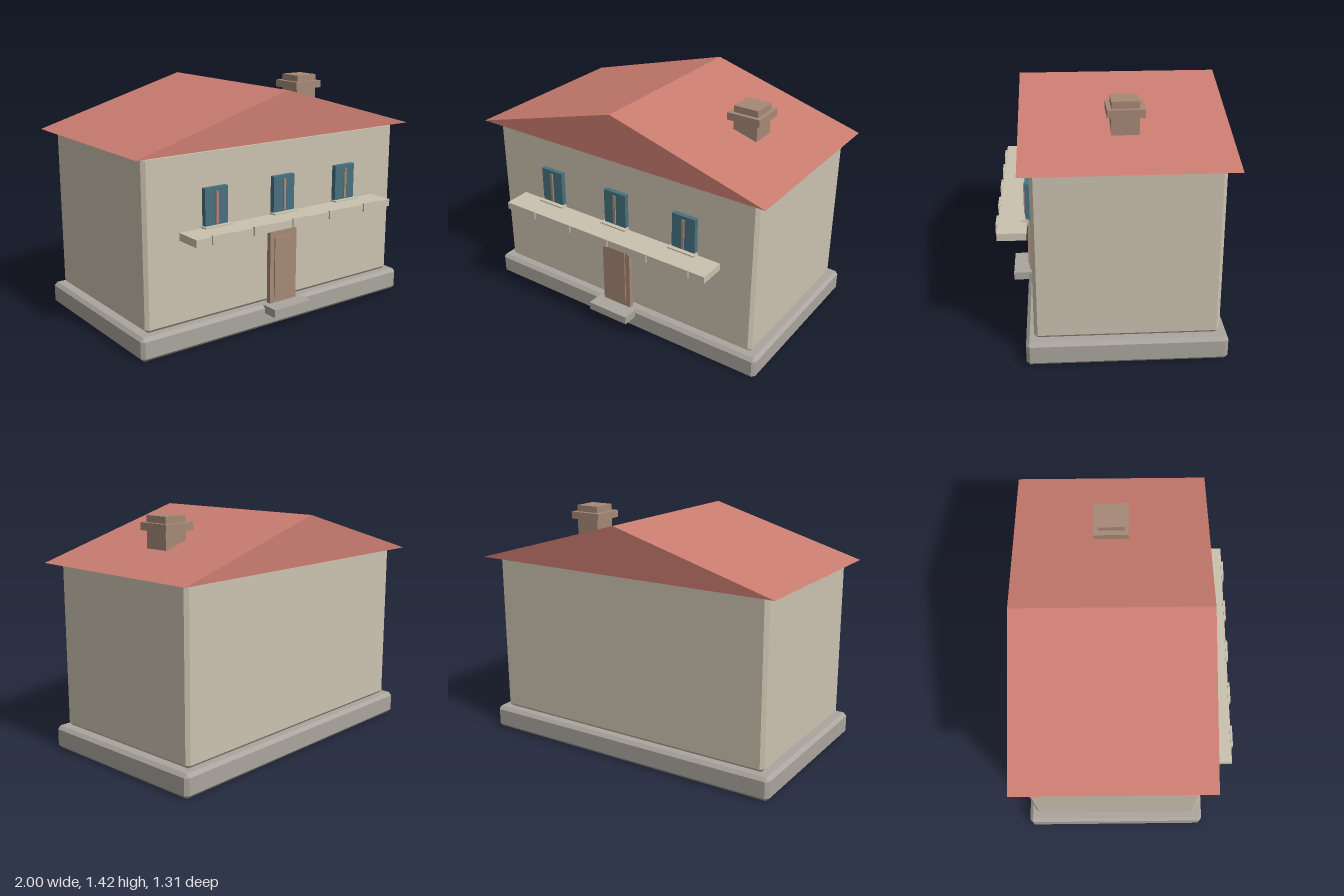
import * as THREE from 'three';
import { ConvexGeometry } from 'three/addons/geometries/ConvexGeometry.js';

function material(name, color) {
  const m = new THREE.MeshStandardMaterial({ color });
  m.name = name;
  return m;
}

// Box with all edges cut off at 45 degrees, given by its min and max corners
function chamferedBox([x0, y0, z0], [x1, y1, z1], c) {
  const half = [(x1 - x0) / 2, (y1 - y0) / 2, (z1 - z0) / 2];
  const points = [];
  for (const sx of [-1, 1]) for (const sy of [-1, 1]) for (const sz of [-1, 1]) {
    for (let full = 0; full < 3; full++) {
      const [x, y, z] = half.map((h, i) => (i === full ? h : h - c));
      points.push(new THREE.Vector3(sx * x, sy * y, sz * z));
    }
  }
  return new ConvexGeometry(points).translate((x0 + x1) / 2, (y0 + y1) / 2, (z0 + z1) / 2);
}

export function createModel() {
  const house = new THREE.Group();
  house.name = 'house';

  const plaster = material('plaster', 0xcbc2b0);
  const tile = material('roof tile', 0xca7c70);
  const brown = material('brown', 0xa68977);
  const blue = material('window blue', 0x47717f);
  const stone = material('stone', 0xaaa59d);

  function add(name, geometry, mat, parent = house) {
    const mesh = new THREE.Mesh(geometry, mat);
    mesh.name = name;
    parent.add(mesh);
    return mesh;
  }

  // Plain box given by its min and max corners
  function box(name, [x0, y0, z0], [x1, y1, z1], mat, parent) {
    const mesh = add(name, new THREE.BoxGeometry(x1 - x0, y1 - y0, z1 - z0), mat, parent);
    mesh.position.set((x0 + x1) / 2, (y0 + y1) / 2, (z0 + z1) / 2);
  }

  // Base and walls
  add('foundation', chamferedBox([-0.985, 0, -0.635], [0.985, 0.14, 0.495], 0.02), stone);
  add('walls', chamferedBox([-0.93, 0.14, -0.59], [0.93, 1.135, 0.45], 0.02), plaster);

  // Gable roof with a flat underside
  const gable = new THREE.Shape([
    new THREE.Vector2(-1, 1.133), new THREE.Vector2(1, 1.133), new THREE.Vector2(0, 1.417),
  ]);
  const roof = new THREE.ExtrudeGeometry(gable, { depth: 1.167, bevelEnabled: false });
  add('roof', roof.translate(0, 0, -0.656), tile);

  // Chimney with a projecting band
  box('chimney', [0.5, 1.2, -0.15], [0.655, 1.42, 0.005], brown);
  box('chimneyBand', [0.47, 1.335, -0.18], [0.68, 1.38, 0.03], brown);

  // Door and step
  box('doorFrame', [-0.1, 0.14, 0.46], [0.1, 0.585, 0.49], brown);
  box('doorPanel', [-0.07, 0.17, 0.485], [0.07, 0.545, 0.498], brown);
  box('doorStep', [-0.14, 0.09, 0.46], [0.14, 0.14, 0.59], stone);

  // Three windows with centre bars and sills
  for (const x of [-0.484, 0, 0.484]) {
    const win = new THREE.Group();
    win.name = 'window';
    win.position.x = x;
    house.add(win);
    box('windowPane', [-0.077, 0.695, 0.458], [0.077, 0.918, 0.488], blue, win);
    box('windowBar', [-0.008, 0.71, 0.485], [0.008, 0.897, 0.497], brown, win);
    box('windowSill', [-0.09, 0.675, 0.47], [0.09, 0.702, 0.515], plaster, win);
  }

  // Balcony slab with blocks along the front edge
  box('balcony', [-0.725, 0.65, 0.48], [0.725, 0.694, 0.645], plaster);
  for (let i = -2; i <= 2; i++) {
    box('balconyBlock', [i * 0.28 - 0.065, 0.652, 0.64], [i * 0.28 + 0.065, 0.702, 0.655], plaster);
  }

  return house;
}
